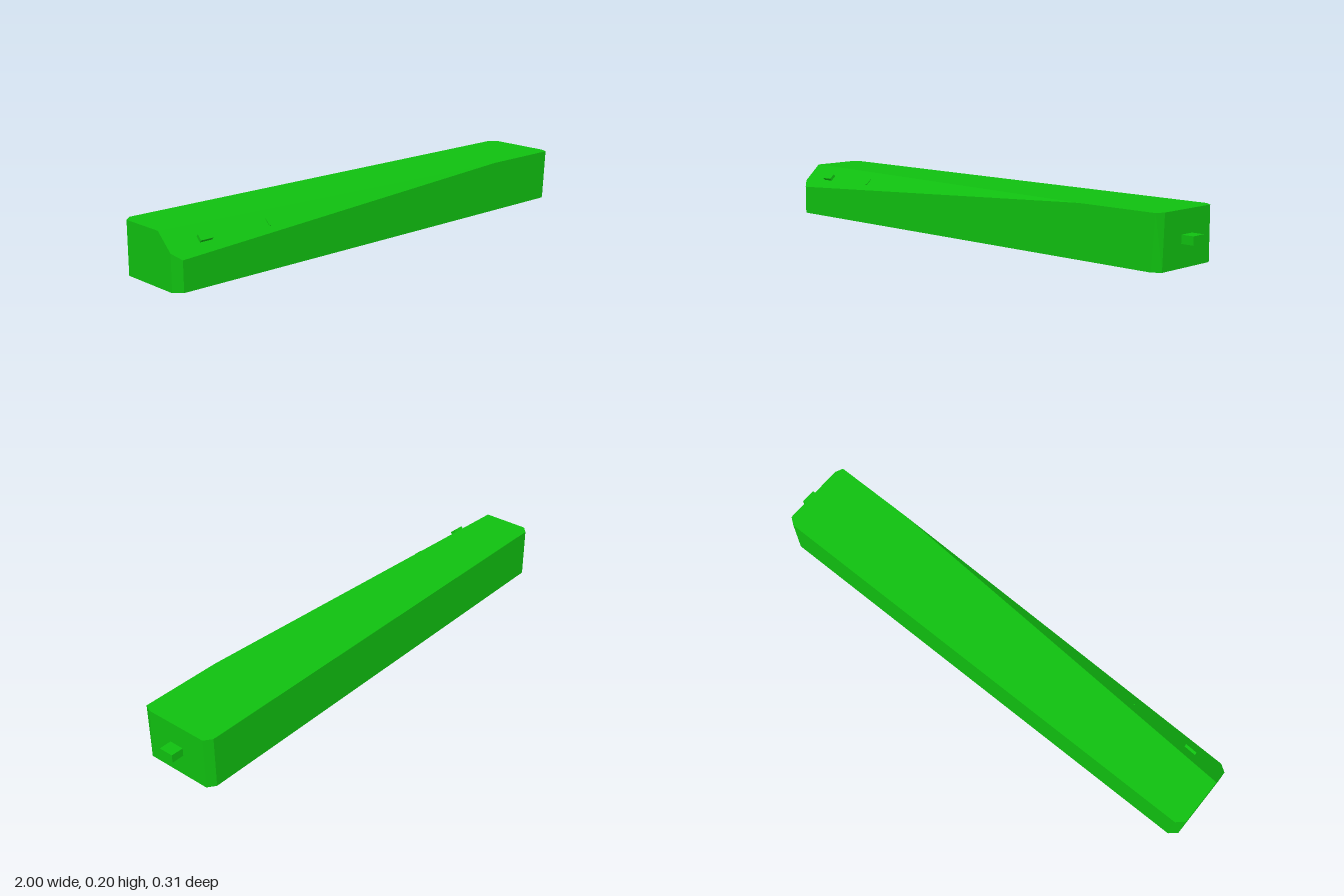
import * as THREE from 'three';
import { ConvexGeometry } from 'three/addons/geometries/ConvexGeometry.js';

const TOP = 0.203, HALF = 0.157;
// slanted facet that widens from x = 0.6 towards the right end
const cut = x => (0.6 - x) / 1.6;
const facetY = (x, z) => TOP - 0.09 * (cut(x) - (HALF - z) / 0.097);
const facetZ = (x, y) => HALF - 0.097 * (cut(x) - (TOP - y) / 0.09);
const facetNormal = new THREE.Vector3(-1 / 1.6, 1 / 0.09, 1 / 0.097).normalize();

export function createModel() {
  const group = new THREE.Group();
  const material = new THREE.MeshStandardMaterial({ color: 0x10c010, flatShading: true });
  const add = (name, geometry) => {
    const mesh = new THREE.Mesh(geometry, material);
    mesh.name = name;
    group.add(mesh);
    return mesh;
  };

  // long body with chamfered corners
  const v = (x, y, z) => new THREE.Vector3(x, y, z);
  const points = [
    // base
    v(-1, 0, 0.13), v(-0.97, 0, HALF), v(0.92, 0, HALF), v(0.95, 0, 0.135),
    v(0.95, 0, -0.135), v(0.92, 0, -HALF), v(-0.97, 0, -HALF), v(-1, 0, -0.13),
    // top
    v(0.6, TOP, HALF), v(0.935, TOP, HALF), v(0.95, TOP, 0.125),
    v(0.95, TOP, -0.135), v(0.92, TOP, -HALF), v(-0.97, TOP, -HALF), v(-1, TOP, -0.13),
    // facet outline at the right end
    v(-1, TOP, facetZ(-1, TOP)), v(-1, facetY(-1, 0.13), 0.13), v(-0.97, facetY(-0.97, HALF), HALF),
  ];
  add('body', new ConvexGeometry(points));

  // plug on the left end
  add('plug', new THREE.BoxGeometry(0.06, 0.032, 0.06)).position.set(0.97, 0.101, 0);

  // small parts standing on the slanted facet
  const onFacet = (name, x, y, w, h, d) => {
    const mesh = add(name, new THREE.BoxGeometry(w, h, d));
    mesh.position.set(x, y, facetZ(x, y));
    mesh.quaternion.setFromUnitVectors(v(0, 0, 1), facetNormal);
  };
  onFacet('button', -0.85, 0.16, 0.05, 0.026, 0.024);
  onFacet('indicator', -0.58, 0.166, 0.006, 0.03, 0.006);

  return group;
}
